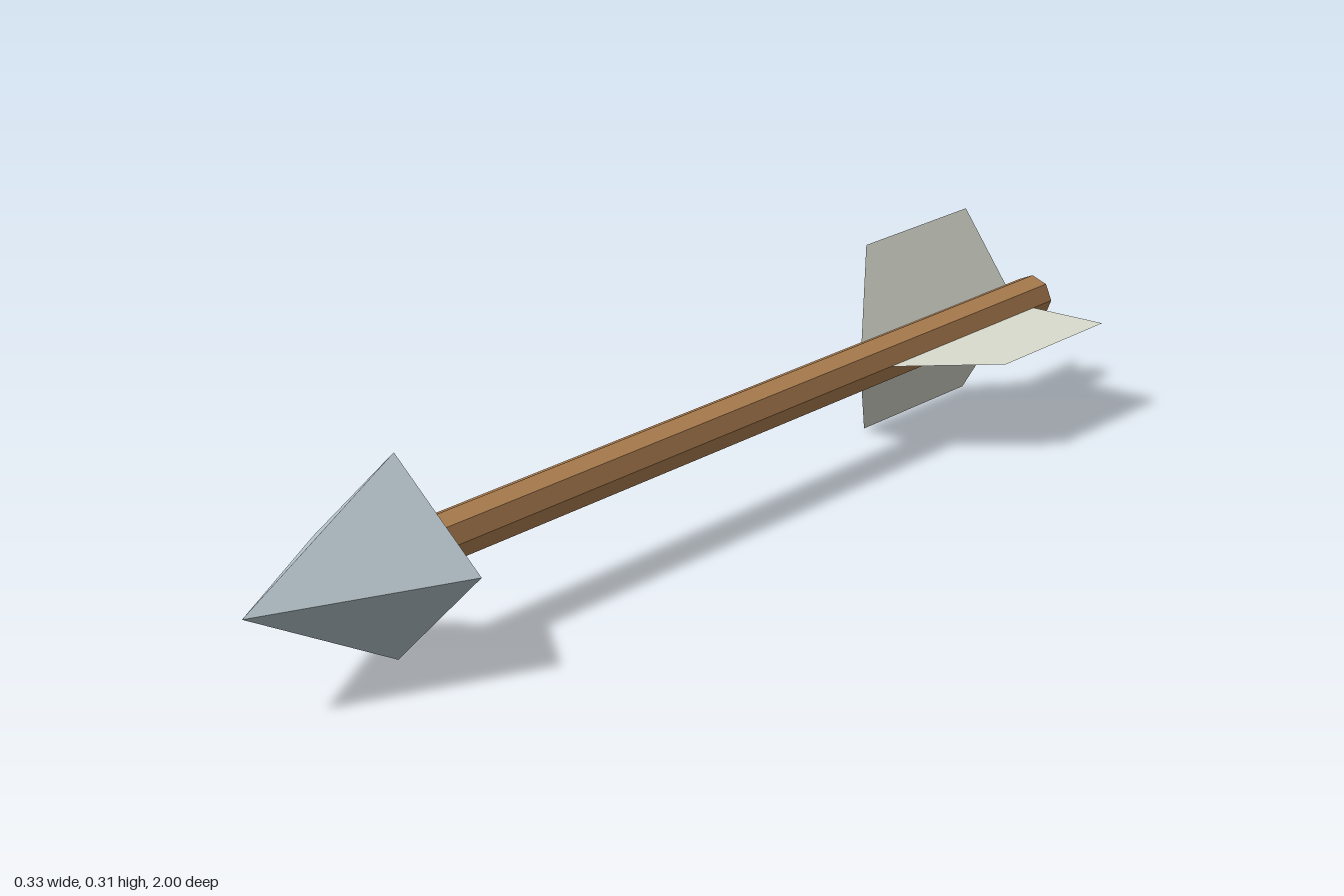
import * as THREE from 'three';

const mat = (name, color, extra = {}) => {
  const m = new THREE.MeshStandardMaterial({ color, flatShading: true, ...extra });
  m.name = name;
  return m;
};

export function createModel() {
  const arrow = new THREE.Group();
  arrow.name = 'arrow';
  const wood = mat('wood', 0xaf7f50);
  const steel = mat('steel', 0xb4c2c8);
  const feather = mat('feather', 0xdadccf, { side: THREE.DoubleSide });

  const add = (name, geometry, material) => {
    const mesh = new THREE.Mesh(geometry, material);
    mesh.name = name;
    arrow.add(mesh);
    return mesh;
  };

  // Eight-sided shaft along z
  add('shaft', new THREE.CylinderGeometry(0.038, 0.038, 1.68, 8)
    .rotateX(Math.PI / 2).translate(0, 0, -0.16), wood);

  // Four-sided pointed head
  add('head', new THREE.ConeGeometry(0.152, 0.32, 4)
    .rotateX(Math.PI / 2).translate(0, 0, 0.84), steel);

  // Three flat vanes around the shaft; outline is (radius, z)
  const outline = [[0.03, -0.503], [0.18, -0.627], [0.18, -0.928], [0.03, -0.944]];
  const vane = new THREE.ShapeGeometry(
    new THREE.Shape(outline.map(([r, z]) => new THREE.Vector2(r, z)))
  ).rotateX(Math.PI / 2);
  for (let i = 0; i < 3; i++) {
    add(`vane${i + 1}`, vane, feather).rotation.z = (i * Math.PI * 2) / 3;
  }

  // Axis position: lowest vane tips rest on the ground
  arrow.position.set(-0.014, 0.157, 0);
  const model = new THREE.Group();
  model.add(arrow);
  return model;
}
